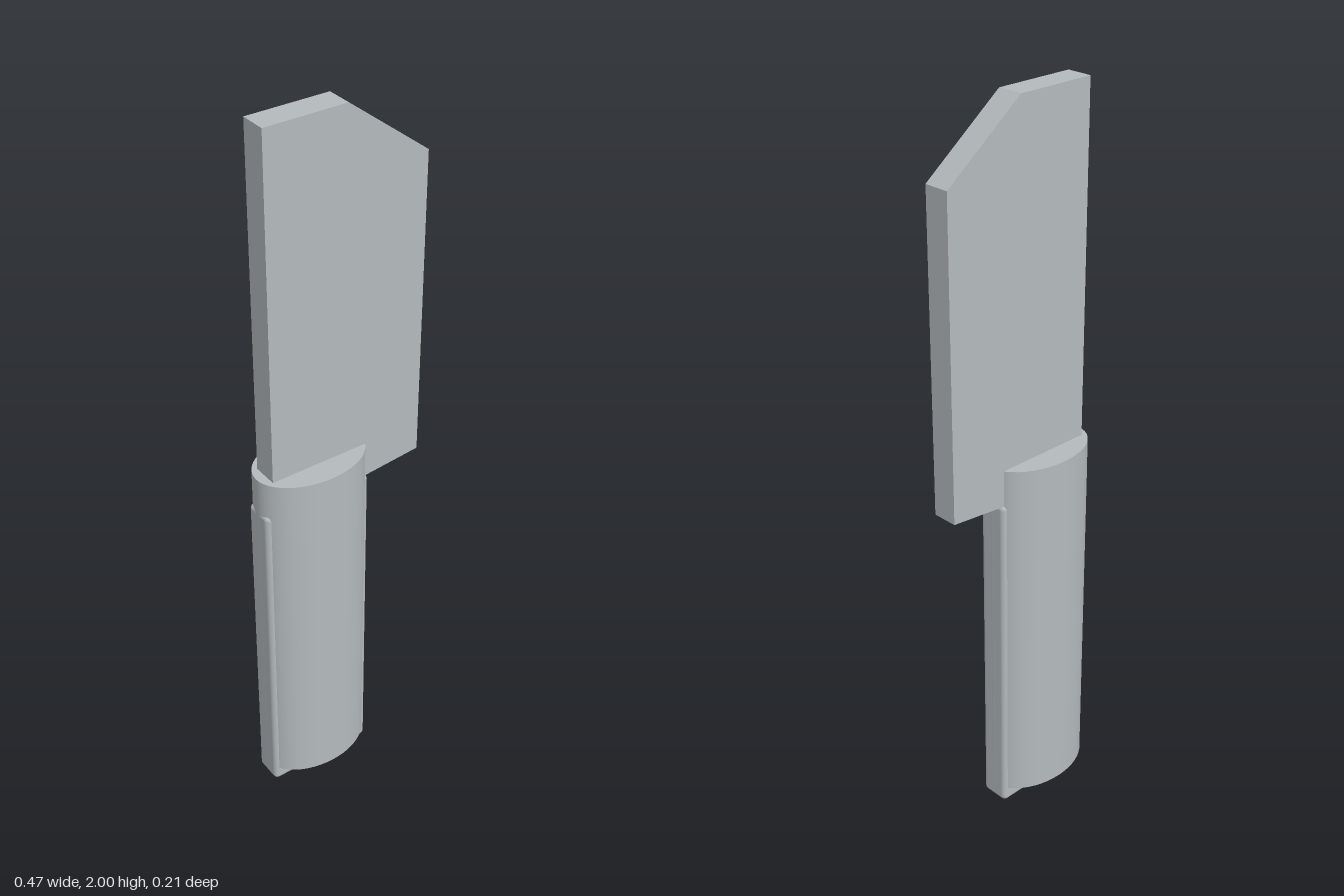
import * as THREE from 'three';
import { RoundedBoxGeometry } from 'three/addons/geometries/RoundedBoxGeometry.js';

export function createModel() {
  const group = new THREE.Group();
  const steel = new THREE.MeshStandardMaterial({ color: 0xb4babd });
  steel.name = 'grey steel';

  const add = (name, geometry, x, y, z) => {
    const mesh = new THREE.Mesh(geometry, steel);
    mesh.name = name;
    mesh.position.set(x, y, z);
    group.add(mesh);
    return mesh;
  };

  // Flat blade with a clipped tip and a slightly slanted heel
  const outline = new THREE.Shape([
    [-0.21, 0.94], [0.236, 0.985], [0.236, 1.83], [0.012, 2], [-0.21, 2],
  ].map(([x, y]) => new THREE.Vector2(x, y)));
  const thickness = 0.07;
  add('blade', new THREE.ExtrudeGeometry(outline, { depth: thickness, bevelEnabled: false }),
    0, 0, -thickness / 2);

  // Oval grip
  const grip = new THREE.CylinderGeometry(1, 1, 1.02, 48);
  grip.scale(0.157, 1, 0.104);
  add('grip', grip, -0.079, 0.56, 0);

  // Rounded tang running through the grip and showing at its edges and butt
  add('tang', new RoundedBoxGeometry(0.313, 0.965, 0.084, 4, 0.014), -0.079, 0.4875, 0);

  return group;
}
